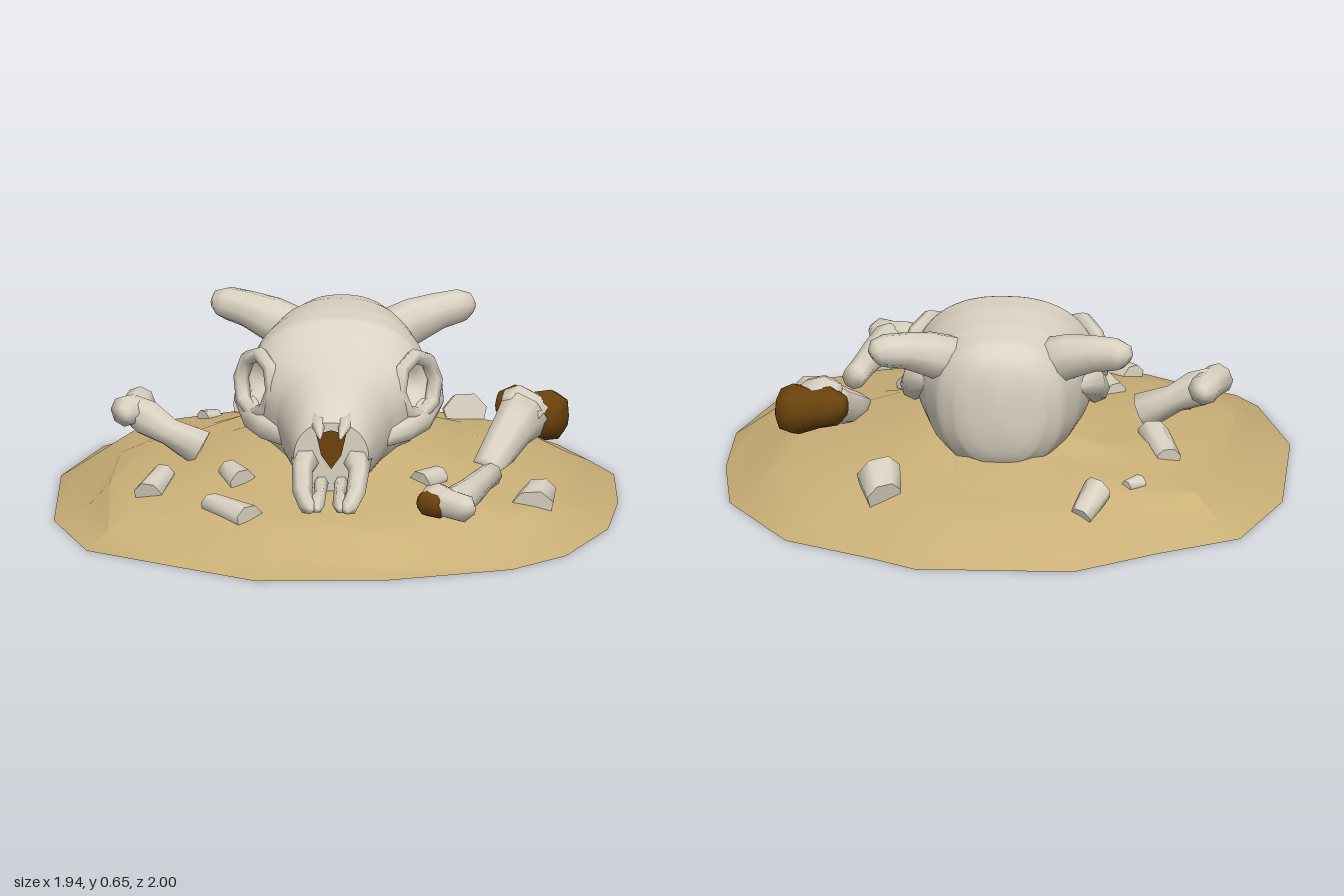
import * as THREE from 'three';
import { toCreasedNormals, mergeVertices } from 'three/addons/utils/BufferGeometryUtils.js';

const V = (x, y, z) => new THREE.Vector3(x, y, z);
const sand = new THREE.MeshStandardMaterial({ color: 0xcab077, side: THREE.DoubleSide });
const bone = new THREE.MeshStandardMaterial({ color: 0xdad2c2 });
const marrow = new THREE.MeshStandardMaterial({ color: 0x6b430c });
sand.name = 'sand'; bone.name = 'bone'; marrow.name = 'marrowBrown';

function add(parent, name, geo, mat = bone) {
  const m = new THREE.Mesh(geo, mat);
  m.name = name;
  parent.add(m);
  return m;
}

// Piecewise-linear lookup in rows sorted by their first value
function sample(rows, t) {
  let i = 0;
  while (i < rows.length - 2 && t > rows[i + 1][0]) i++;
  const a = rows[i], b = rows[i + 1];
  const f = THREE.MathUtils.clamp((t - a[0]) / (b[0] - a[0]), 0, 1);
  return a.map((v, k) => v + (b[k] - v) * f);
}

// Rings of points joined into a skin, closed at both ends
function loft(rings) {
  const n = rings[0].length, pos = [], idx = [];
  rings.forEach(r => r.forEach(p => pos.push(p.x, p.y, p.z)));
  for (let i = 0; i < rings.length - 1; i++) for (let j = 0; j < n; j++) {
    const a = i * n + j, b = i * n + (j + 1) % n;
    idx.push(a, b, a + n, b, b + n, a + n);
  }
  [rings[0], rings[rings.length - 1]].forEach((r, e) => {
    const c = r.reduce((s, p) => s.add(p), V(0, 0, 0)).divideScalar(n), k = pos.length / 3;
    pos.push(c.x, c.y, c.z);
    const o = e ? (rings.length - 1) * n : 0;
    for (let j = 0; j < n; j++) {
      const a = o + j, b = o + (j + 1) % n;
      e ? idx.push(a, b, k) : idx.push(b, a, k);
    }
  });
  const g = new THREE.BufferGeometry();
  g.setAttribute('position', new THREE.Float32BufferAttribute(pos, 3));
  g.setIndex(idx);
  g.computeVertexNormals();
  return g;
}

// Round limb through stations [x, y, z, radius]
function limb(stations, sides = 8) {
  const p = stations.map(s => V(s[0], s[1], s[2]));
  const rings = p.map((c, i) => {
    const d = p[Math.min(i + 1, p.length - 1)].clone().sub(p[Math.max(i - 1, 0)]).normalize();
    const u = V(0, 1, 0).cross(d).normalize(), w = d.clone().cross(u);
    return Array.from({ length: sides }, (_, j) => {
      const a = j / sides * Math.PI * 2, r = stations[i][3];
      return c.clone().addScaledVector(u, Math.cos(a) * r).addScaledVector(w, Math.sin(a) * r);
    });
  });
  return loft(rings);
}

// Mound: uneven outline carried inward over rising rings, the crest set back
const OUTLINE = [[0.27, -1], [0.43, -0.9], [0.73, -0.74], [0.94, -0.38], [0.97, -0.03], [0.95, 0.3], [0.82, 0.64], [0.64, 0.82],
  [0.22, 0.97], [-0.24, 1], [-0.5, 0.85], [-0.84, 0.65], [-0.97, 0.28], [-0.97, -0.28], [-0.84, -0.65], [-0.56, -0.81], [-0.28, -1]];
const RISE = [[0, 0.25], [0.25, 0.248], [0.4, 0.205], [0.55, 0.17], [0.7, 0.143], [0.8, 0.112], [0.9, 0.052], [1, 0]];
const setBack = t => 0.14 * Math.max(0, 0.8 - t);
function moundY(x, z) {
  const t = Math.hypot(x, z) / 0.97;
  return sample(RISE, Math.hypot(x, z + setBack(t)) / 0.97)[1];
}

function moundGeometry() {
  const n = OUTLINE.length, pos = [], idx = [];
  RISE.slice(1).forEach(([t, y], i) => OUTLINE.forEach(([x, z], j) => {
    const rim = t === 1, s = t * (rim ? 1 : 1 + 0.022 * Math.sin(j * 2.3 + i * 1.7));
    const lip = t === 0.9 && z > 0.8 ? 0.5 : 1; // flatter lip along the front
    pos.push(x * s, rim ? 0 : y * lip + 0.01 * Math.sin(j * 3.1 + i * 2.2), z * s - setBack(t));
  }));
  pos.push(0, RISE[0][1], -setBack(0));
  for (let j = 0; j < n; j++) {
    const k = (j + 1) % n;
    idx.push((RISE.length - 1) * n, k, j);
    for (let i = 0; i < RISE.length - 2; i++) {
      const a = i * n + j, b = i * n + k;
      idx.push(a, b, a + n, b, b + n, a + n);
    }
  }
  const g = new THREE.BufferGeometry();
  g.setAttribute('position', new THREE.Float32BufferAttribute(pos, 3));
  g.setIndex(idx);
  g.computeVertexNormals();
  return g;
}

// Skull sections: z, half width, top, widest height, bottom
const SKULL = [[-0.51, 0.06, 0.5, 0.4, 0.3], [-0.485, 0.15, 0.58, 0.4, 0.2], [-0.42, 0.22, 0.625, 0.41, 0.15], [-0.3, 0.27, 0.645, 0.41, 0.13],
  [-0.15, 0.305, 0.655, 0.41, 0.13], [-0.03, 0.315, 0.65, 0.41, 0.13], [0.05, 0.3, 0.613, 0.41, 0.13], [0.12, 0.26, 0.58, 0.4, 0.14],
  [0.22, 0.2, 0.54, 0.36, 0.15], [0.36, 0.16, 0.49, 0.32, 0.16], [0.49, 0.13, 0.425, 0.3, 0.18]];
const EYE = V(0.277, 0.435, 0.05), EYE_DIR = V(0.82, 0.12, 0.56).normalize();

function skullGeometry() {
  const rings = [], N = 72, M = 72;
  for (let i = 0; i <= N; i++) {
    const [z, w, top, mid, bot] = sample(SKULL, -0.51 + i / N);
    rings.push(Array.from({ length: M }, (_, j) => {
      const a = j / M * Math.PI * 2, c = Math.cos(a), s = Math.sin(a);
      const h = s > 0 ? (top - mid) * s : (mid - bot) * -(Math.abs(s) ** 0.85);
      const p = V(w * Math.sign(c) * Math.abs(c) ** 0.85, Math.max(mid + h, 0.165), z);
      // eye sockets sunk smoothly into the sides
      const side = p.x < 0 ? -1 : 1;
      p.x *= side;
      const d = p.clone().sub(EYE), along = d.dot(EYE_DIR);
      const r = d.addScaledVector(EYE_DIR, -along).length();
      if (along > -0.12 && r < 0.1) p.addScaledVector(EYE_DIR, -0.085 * THREE.MathUtils.smoothstep(0.1 - r, 0, 0.06));
      p.x *= side;
      return p;
    }));
  }
  return toCreasedNormals(loft(rings), 0.9);
}

export function createModel() {
  const model = new THREE.Group();
  add(model, 'sandMound', toCreasedNormals(moundGeometry(), 0.5), sand);

  const skull = new THREE.Group();
  skull.name = 'skull';
  model.add(skull);
  add(skull, 'cranium', skullGeometry());

  // Nose opening
  const nose = new THREE.Shape();
  [[0, 0.26], [0.035, 0.31], [0.052, 0.385], [0, 0.4], [-0.052, 0.385], [-0.035, 0.31]]
    .forEach(([x, y], i) => i ? nose.lineTo(x, y) : nose.moveTo(x, y));
  add(skull, 'noseOpening', new THREE.ShapeGeometry(nose), marrow).position.z = 0.496;

  for (const s of [1, -1]) {
    const side = s > 0 ? 'left' : 'right';
    add(skull, side + 'Horn', limb([[0.12 * s, 0.5, -0.3, 0.09], [0.25 * s, 0.555, -0.355, 0.078], [0.33 * s, 0.578, -0.39, 0.064],
      [0.4 * s, 0.588, -0.422, 0.058], [0.43 * s, 0.583, -0.435, 0.048], [0.445 * s, 0.575, -0.442, 0.025]], 9));
    add(skull, side + 'CheekArch', limb([[0.15 * s, 0.3, 0.24, 0.04], [0.23 * s, 0.302, 0.14, 0.046], [0.285 * s, 0.312, 0.03, 0.05],
      [0.31 * s, 0.34, -0.09, 0.054], [0.3 * s, 0.39, -0.17, 0.056], [0.24 * s, 0.42, -0.28, 0.03]]));
    const rim = add(skull, side + 'SocketRim', new THREE.TorusGeometry(0.105, 0.027, 6, 8));
    rim.position.set(EYE.x * s, EYE.y, EYE.z);
    rim.lookAt(V((EYE.x + EYE_DIR.x) * s, EYE.y + EYE_DIR.y, EYE.z + EYE_DIR.z));
    // Nasal tip and the two-pronged upper jaw
    add(skull, side + 'NasalTip', limb([[0.045 * s, 0.41, 0.42, 0.042], [0.045 * s, 0.41, 0.49, 0.022], [0.035 * s, 0.392, 0.575, 0.005]], 6));
    add(skull, side + 'OuterProng', limb([[0.085 * s, 0.29, 0.45, 0.055], [0.098 * s, 0.265, 0.54, 0.036], [0.092 * s, 0.222, 0.66, 0.034],
      [0.072 * s, 0.19, 0.72, 0.032], [0.06 * s, 0.18, 0.745, 0.012]], 6));
    add(skull, side + 'InnerProng', limb([[0.035 * s, 0.21, 0.47, 0.026], [0.033 * s, 0.2, 0.6, 0.02], [0.045 * s, 0.19, 0.7, 0.032], [0.04 * s, 0.18, 0.735, 0.01]], 6));
  }

  // Long bones: a shaft, and end pieces lying across it, as stations [x, y, z, radius]
  const longBones = {
    rightSideBone: [
      ['shaft', [[-0.72, 0.335, 0.01, 0.05], [-0.66, 0.3, 0.02, 0.065], [-0.58, 0.255, 0.04, 0.05], [-0.47, 0.2, 0.055, 0.068]]],
      ['knob', [[-0.675, 0.33, -0.11, 0.025], [-0.685, 0.33, -0.075, 0.055], [-0.705, 0.325, 0, 0.052], [-0.735, 0.33, 0.05, 0.055], [-0.745, 0.33, 0.085, 0.025]]]],
    leftSideBone: [
      ['shaft', [[0.52, 0.16, 0.14, 0.055], [0.56, 0.205, 0.04, 0.065], [0.6, 0.25, -0.06, 0.075], [0.64, 0.285, -0.13, 0.095]]],
      ['knob', [[0.565, 0.32, -0.16, 0.045], [0.6, 0.315, -0.155, 0.075], [0.66, 0.285, -0.13, 0.08], [0.705, 0.265, -0.11, 0.06]]],
      ['brokenEnd', [[0.545, 0.305, -0.22, 0.035], [0.59, 0.3, -0.21, 0.072], [0.65, 0.28, -0.19, 0.07], [0.72, 0.272, -0.17, 0.093], [0.765, 0.265, -0.155, 0.075], [0.78, 0.265, -0.15, 0.04]]]],
    frontBone: [
      ['shaft', [[0.545, 0.2, 0.33, 0.042], [0.52, 0.205, 0.42, 0.042], [0.485, 0.205, 0.56, 0.05], [0.44, 0.205, 0.7, 0.06], [0.425, 0.205, 0.74, 0.045]]],
      ['knob', [[0.495, 0.205, 0.8, 0.025], [0.475, 0.205, 0.775, 0.05], [0.425, 0.208, 0.735, 0.052], [0.375, 0.22, 0.695, 0.054], [0.335, 0.222, 0.68, 0.035]]],
      ['brokenEnd', [[0.412, 0.203, 0.745, 0.025], [0.39, 0.204, 0.735, 0.048], [0.345, 0.206, 0.705, 0.05], [0.318, 0.208, 0.69, 0.028]]]],
  };
  for (const [name, pieces] of Object.entries(longBones)) {
    const g = new THREE.Group();
    g.name = name;
    pieces.forEach(([piece, stations]) => add(g, piece, limb(stations), piece === 'brokenEnd' ? marrow : bone));
    model.add(g);
  }

  // Half-buried fragments: ends x1, z1, x2, z2, width and lift
  const fragments = [[-0.29, -0.76, -0.35, -0.6, 0.1, 0.015], [-0.44, -0.55, -0.49, -0.5, 0.06, 0.01], [0.39, -0.67, 0.42, -0.52, 0.15, 0.025],
    [-0.58, -0.3, -0.51, -0.1, 0.1, 0.01], [-0.59, 0.22, -0.64, 0.42, 0.1, 0.01], [-0.37, 0.26, -0.31, 0.39, 0.1, 0.005],
    [-0.42, 0.54, -0.27, 0.69, 0.1, 0.01], [0.37, 0.29, 0.3, 0.39, 0.1, 0.005], [0.71, 0.27, 0.69, 0.43, 0.14, 0.01]];
  fragments.forEach(([x1, z1, x2, z2, w, lift], i) => {
    const len = Math.hypot(x2 - x1, z2 - z1), x = (x1 + x2) / 2, z = (z1 + z2) / 2;
    const geo = new THREE.CylinderGeometry(w * 0.42, w * 0.54, len * 0.94, 7, 1);
    geo.rotateX(Math.PI / 2);
    const p = geo.attributes.position;
    for (let k = 0; k < p.count; k++) { // slanted breaks, flattened section
      p.setZ(k, p.getZ(k) + p.getX(k) * 0.3 * Math.sin(i * 2 + 1));
      p.setY(k, p.getY(k) * 0.85);
    }
    geo.deleteAttribute('uv');
    geo.deleteAttribute('normal');
    const m = add(model, 'boneFragment' + (i + 1), toCreasedNormals(mergeVertices(geo), 1.1));
    m.position.set(x, moundY(x, z) + lift, z);
    m.lookAt(V(x1, moundY(x1, z1) + lift, z1));
  });
  return model;
}
